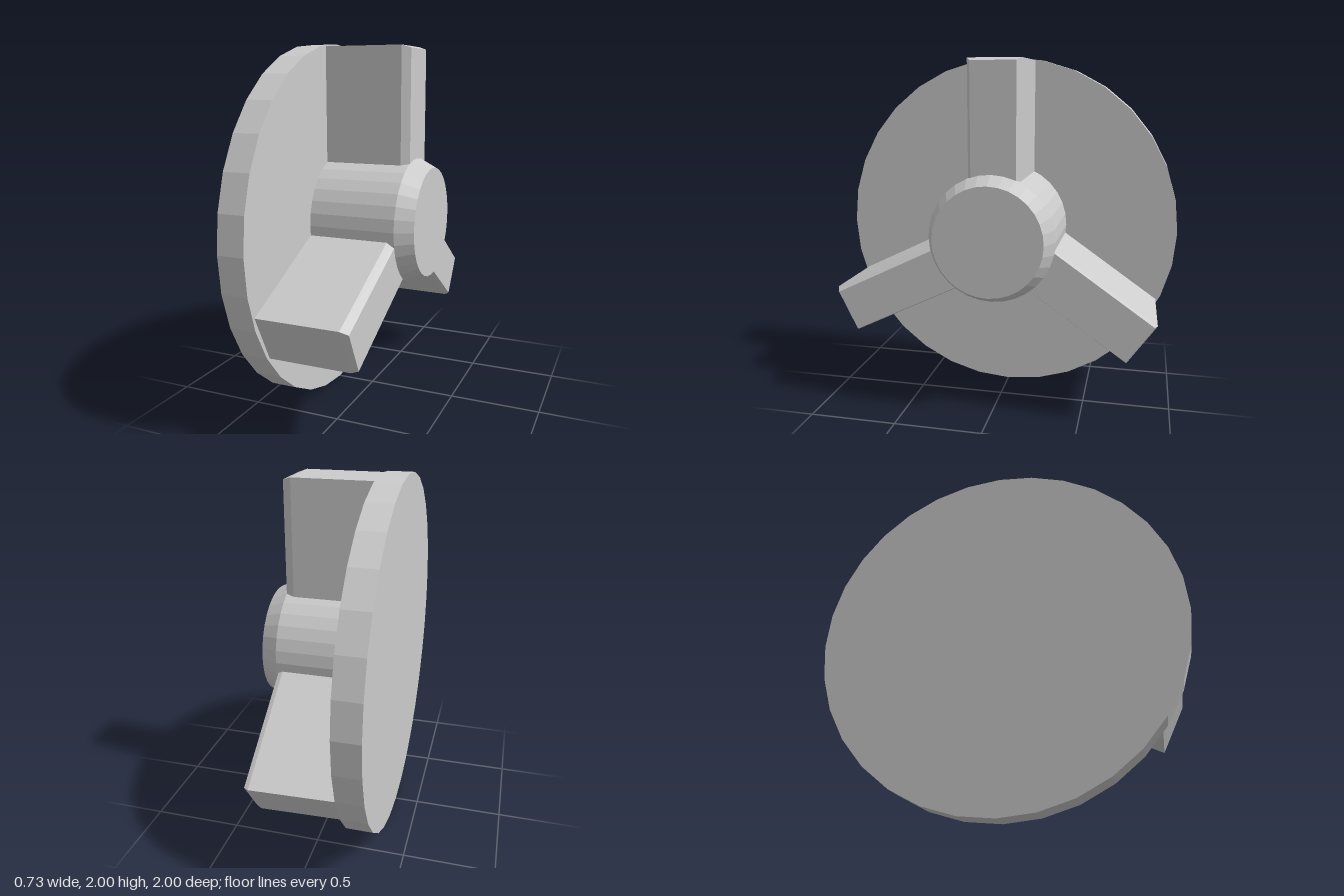
import * as THREE from 'three';

const material = new THREE.MeshStandardMaterial({ color: 0xcccccc, flatShading: true });

// Round section along x, from x0 to x1
function drum(name, x0, x1, r0, r1, y) {
  const geo = new THREE.CylinderGeometry(r1, r0, x1 - x0, 32);
  geo.rotateZ(-Math.PI / 2);
  const mesh = new THREE.Mesh(geo, material);
  mesh.name = name;
  mesh.position.set((x0 + x1) / 2, y, 0);
  return mesh;
}

// Radial block whose front face is chamfered on both sides and the outer end
function vane({ name, angle, y, z, length, width, front, shoulder, insetPos, insetNeg, insetEnd, flare }) {
  const inner = 0.15, back = -0.23;
  const geo = new THREE.BoxGeometry(2, 1, 1, 2, 1, 1);
  const p = geo.attributes.position;
  for (let i = 0; i < p.count; i++) {
    const level = Math.round(p.getX(i)) + 1; // 0 back, 1 shoulder, 2 front
    const side = Math.sign(p.getZ(i));
    const outer = p.getY(i) > 0;
    const inset = level === 2 ? (side > 0 ? insetPos : insetNeg) : 0;
    const end = length + (level === 1 ? flare : 0) - (level === 2 ? insetEnd : 0);
    p.setXYZ(i, [back, shoulder, front][level], outer ? end : inner, side * (width / 2 - inset));
  }
  const flat = geo.toNonIndexed();
  flat.computeVertexNormals();
  const mesh = new THREE.Mesh(flat, material);
  mesh.name = name;
  mesh.position.set(0, y, z);
  mesh.rotation.x = angle;
  return mesh;
}

export function createModel() {
  const group = new THREE.Group();
  group.name = 'threeVaneKnob';

  // Base plate
  group.add(drum('baseDisc', -0.365, -0.22, 1, 1, 1));

  // Central hub with a tapered cap
  group.add(drum('hub', -0.23, 0.265, 0.353, 0.353, 1.025));
  group.add(drum('hubCap', 0.265, 0.36, 0.353, 0.305, 1.025));

  // Three slightly uneven vanes
  const deg = Math.PI / 180;
  group.add(vane({
    name: 'topVane', angle: 0, y: 1, z: -0.01, length: 0.983, width: 0.29,
    front: 0.265, shoulder: 0.22, insetPos: 0.025, insetNeg: 0.017, insetEnd: 0.015, flare: 0,
  }));
  group.add(vane({
    name: 'frontVane', angle: 116 * deg, y: 0.985, z: 0, length: 0.965, width: 0.28,
    front: 0.265, shoulder: 0.225, insetPos: 0.01, insetNeg: 0.027, insetEnd: 0.01, flare: 0,
  }));
  group.add(vane({
    name: 'backVane', angle: -124.8 * deg, y: 1.05, z: 0, length: 0.995, width: 0.275,
    front: 0.255, shoulder: 0.23, insetPos: 0.01, insetNeg: 0.01, insetEnd: 0, flare: 0.012,
  }));
  return group;
}
